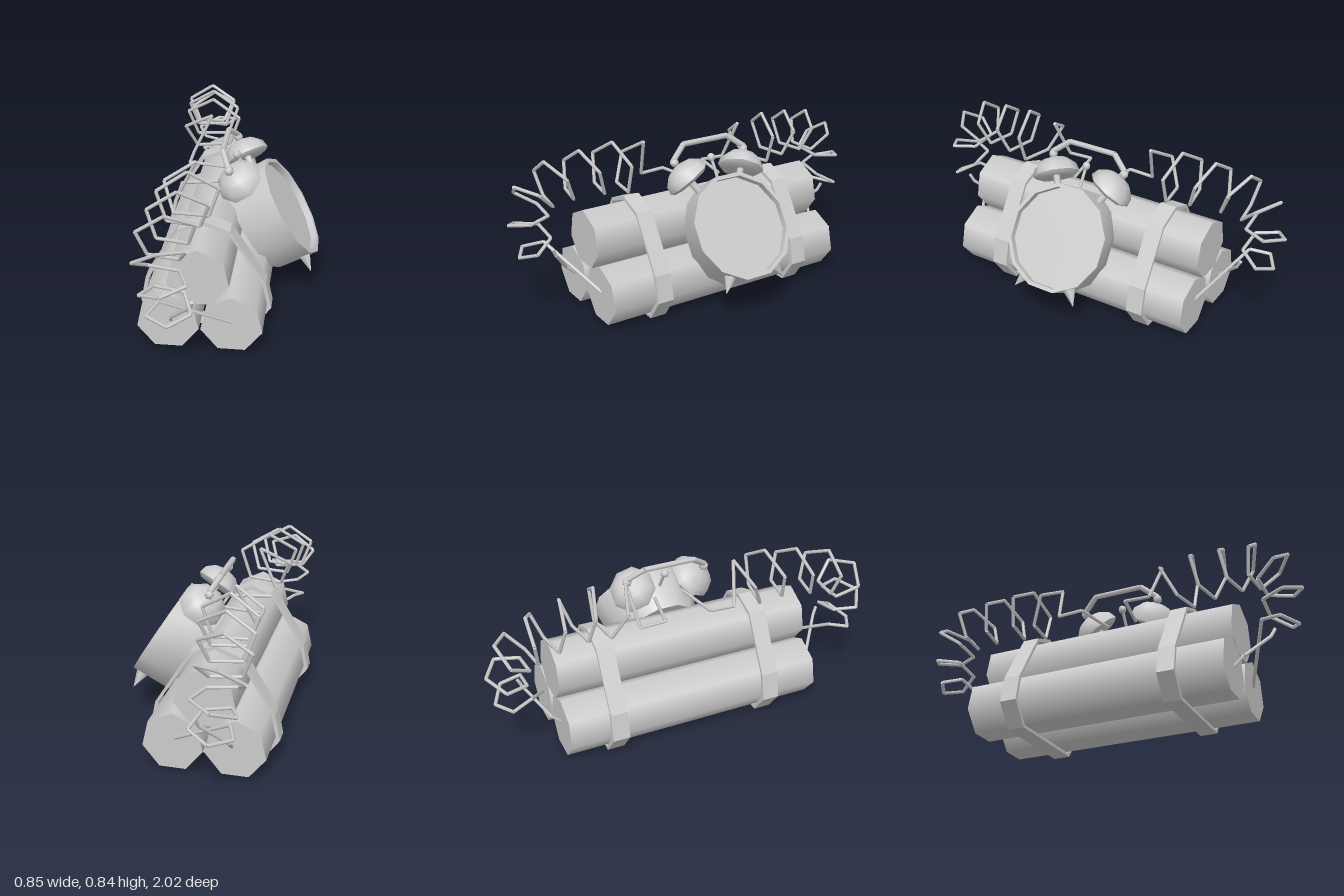
import * as THREE from 'three';
import { mergeGeometries, toCreasedNormals } from 'three/addons/utils/BufferGeometryUtils.js';

const V = (x, y, z) => new THREE.Vector3(x, y, z);
const material = new THREE.MeshStandardMaterial({ color: 0xcccccc });

function add(parent, name, geometry) {
  const mesh = new THREE.Mesh(geometry, material);
  mesh.name = name;
  parent.add(mesh);
  return mesh;
}

// Straight rod or cone between two points
function rod(a, b, r0, r1 = r0, sides = 6) {
  const dir = b.clone().sub(a);
  const g = new THREE.CylinderGeometry(r1, r0, dir.length(), sides);
  g.applyQuaternion(new THREE.Quaternion().setFromUnitVectors(V(0, 1, 0), dir.normalize()));
  const mid = a.clone().add(b).multiplyScalar(0.5);
  return g.translate(mid.x, mid.y, mid.z);
}

// Angular wire through a list of points
function wire(points, r, sides = 5) {
  return mergeGeometries(points.slice(1).map((p, i) => rod(points[i], p, r, r, sides)));
}

// Pentagonal coil rising from the stick ends and curving in to the clock
function coilPoints(side) {
  const path = new THREE.CatmullRomCurve3([
    V(-0.2, 0.35, 0.88), V(-0.22, 0.5, 0.905), V(-0.24, 0.62, 0.87), V(-0.23, 0.68, 0.76),
    V(-0.2, 0.7, 0.61), V(-0.18, 0.71, 0.46), V(-0.165, 0.68, 0.31),
  ]);
  const points = [V(0.06, 0.16, 0.65)];
  for (let k = -2; k <= 30; k++) {
    const t = Math.max(k, 0) / 30;
    const c = path.getPoint(t), tan = path.getTangent(t);
    const out = V(0, -tan.z, tan.y).normalize();
    const r = 0.088 + 0.045 * t, angle = (k * Math.PI * 2) / 5;
    c.addScaledVector(out, r * Math.cos(angle));
    c.x += (r + 0.02) * Math.sin(angle);
    points.push(c);
  }
  points.push(V(-0.26, 0.61, 0.25), V(-0.26, 0.615, 0.12), V(-0.04, 0.615, 0.08));
  return points.map((p) => V(p.x, p.y, p.z * side));
}

function createClock() {
  const clock = new THREE.Group();
  clock.name = 'alarmClock';

  // Case with a recessed dial, narrowing sideways towards the back
  const profile = [[0, -0.115], [0.27, -0.115], [0.272, 0.03], [0.272, 0.115], [0.252, 0.115], [0.252, 0.08], [0, 0.08]];
  const body = new THREE.LatheGeometry(profile.map(([x, y]) => new THREE.Vector2(x, y)), 12, Math.PI / 12);
  body.rotateX(Math.PI / 2);
  const pos = body.attributes.position;
  for (let i = 0; i < pos.count; i++) {
    const back = THREE.MathUtils.clamp((0.07 - pos.getZ(i)) / 0.185, 0, 1);
    pos.setX(i, pos.getX(i) * (1 - 0.24 * back));
  }
  add(clock, 'clockCase', toCreasedNormals(body, 0.8));

  for (const s of [-1, 1]) {
    // Bell with stem and knob, leaning outwards
    const bell = new THREE.Group();
    bell.name = 'bell';
    bell.position.set(s * 0.15, 0.285, 0.005);
    bell.rotation.z = -s * 0.49;
    const dome = [[0, 0.01], [0.1, 0], [0.118, 0.015], [0.108, 0.055], [0.068, 0.09], [0, 0.108]];
    add(bell, 'bellDome', toCreasedNormals(
      new THREE.LatheGeometry(dome.map(([x, y]) => new THREE.Vector2(x, y)), 8, Math.PI / 8), 0.95));
    add(bell, 'bellStem', rod(V(0, -0.11, 0), V(0, 0.02, 0), 0.018));
    add(bell, 'bellKnob', new THREE.SphereGeometry(0.024, 6, 5)).position.y = 0.122;
    clock.add(bell);

    // Pointed foot
    add(clock, 'foot', rod(V(s * 0.125, -0.215, 0.065), V(s * 0.175, -0.3, 0.06), 0.036, 0, 6));
  }

  // Handle joining the bells
  add(clock, 'handle', wire([
    V(-0.21, 0.405, 0.01), V(-0.13, 0.475, 0.01), V(0.13, 0.475, 0.01), V(0.21, 0.405, 0.01),
  ], 0.015, 6));

  // Hammer between the bells
  add(clock, 'hammerStem', rod(V(0, 0.24, 0.015), V(0, 0.37, 0.015), 0.008));
  add(clock, 'hammerHead', new THREE.SphereGeometry(0.022, 6, 5)).position.set(0, 0.38, 0.015);

  // Lean the clock against the bundle, dial facing the left side and up
  const up = V(-0.53, 0.848, 0).normalize();
  const face = V(up.y, -up.x, 0);
  clock.quaternion.setFromRotationMatrix(new THREE.Matrix4().makeBasis(V(0, 0, -1), up, face));
  clock.position.set(0.185, 0.39, -0.012);
  return clock;
}

export function createModel() {
  const model = new THREE.Group();
  model.name = 'stickBundleWithClock';

  // Three seven-sided sticks
  for (const [x, y] of [[-0.255, 0.155], [0.045, 0.155], [-0.11, 0.398]]) {
    const stick = new THREE.CylinderGeometry(0.15, 0.15, 1.33, 7, 1, false, Math.PI);
    stick.rotateX(Math.PI / 2);
    add(model, 'stick', stick).position.set(x, y, -0.003);
  }

  // Two straps around the bundle
  const outline = [
    [-0.34, 0], [0.132, 0], [0.215, 0.115], [0.187, 0.25], [0.015, 0.525],
    [-0.11, 0.572], [-0.235, 0.525], [-0.4, 0.25], [-0.427, 0.115],
  ];
  const loop = (k) => outline.map(([x, y]) => new THREE.Vector2(-0.106 + (x + 0.106) * k, 0.26 + (y - 0.26) * k));
  const band = new THREE.Shape(loop(1));
  band.holes.push(new THREE.Path(loop(0.94)));
  for (const z of [0.394, -0.424]) {
    const strap = new THREE.ExtrudeGeometry(band, { depth: 0.086, bevelEnabled: false });
    add(model, 'strap', strap).position.z = z - 0.043;
  }

  // Coiled wire and short lead at each end
  for (const side of [1, -1]) {
    add(model, 'coiledWire', wire(coilPoints(side), 0.009));
    add(model, 'shortLead', wire([
      V(-0.24, 0.155, side * 0.65), V(-0.235, 0.21, side * 0.71), V(-0.12, 0.34, side * 0.81), V(-0.11, 0.38, side * 0.83),
    ], 0.009));
  }

  model.add(createClock());
  return model;
}
